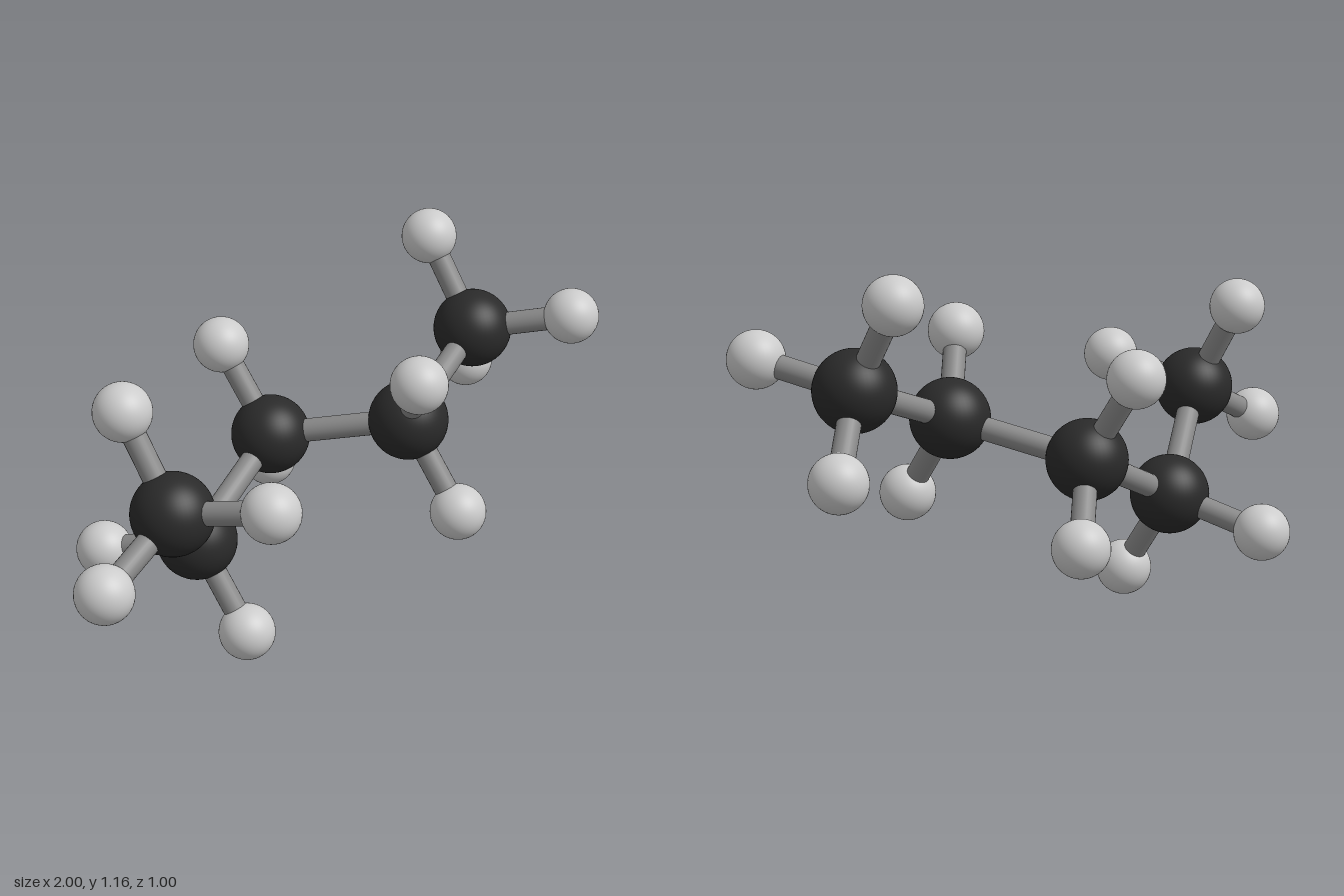
import * as THREE from 'three';

const CARBON_RADIUS = 0.126, HYDROGEN_RADIUS = 0.089, BOND_RADIUS = 0.037;

// Each carbon of the chain with the hydrogens attached to it
const CHAIN = [
  { at: [-0.62, 0.645, 0.118], hydrogens: [[-0.66, 0.928, -0.05], [-0.497, 0.722, 0.413], [-0.911, 0.509, 0.161]] },
  { at: [-0.345, 0.362, -0.109], hydrogens: [[-0.497, 0.271, -0.384], [-0.299, 0.09, 0.07]] },
  { at: [0.061, 0.547, -0.222], hydrogens: [[0.011, 0.816, -0.4], [0.219, 0.333, -0.411]] },
  { at: [0.319, 0.645, 0.14], hydrogens: [[0.174, 0.878, 0.327], [0.358, 0.379, 0.331]] },
  { at: [0.728, 0.796, 0.016], hydrogens: [[0.703, 1.069, -0.167], [0.909, 0.87, 0.278], [0.888, 0.573, -0.16]] },
];

export function createModel() {
  const model = new THREE.Group();
  model.name = 'molecule';

  const carbonMaterial = new THREE.MeshStandardMaterial({ color: 0x2a2a2a });
  const hydrogenMaterial = new THREE.MeshStandardMaterial({ color: 0xcccccc });
  const bondMaterial = new THREE.MeshStandardMaterial({ color: 0x8a8a8a });
  const carbonGeometry = new THREE.SphereGeometry(CARBON_RADIUS, 48, 32);
  const hydrogenGeometry = new THREE.SphereGeometry(HYDROGEN_RADIUS, 40, 28);
  const up = new THREE.Vector3(0, 1, 0);

  function addAtom(name, geometry, material, position) {
    const atom = new THREE.Mesh(geometry, material);
    atom.name = name;
    atom.position.copy(position);
    model.add(atom);
  }

  // Rod running between two atom centres
  function addBond(name, from, to) {
    const span = to.clone().sub(from);
    const rod = new THREE.CylinderGeometry(BOND_RADIUS, BOND_RADIUS, span.length(), 24, 1, true);
    const bond = new THREE.Mesh(rod, bondMaterial);
    bond.name = name;
    bond.position.copy(from).addScaledVector(span, 0.5);
    bond.quaternion.setFromUnitVectors(up, span.normalize());
    model.add(bond);
  }

  let previous = null;
  CHAIN.forEach(({ at, hydrogens }, i) => {
    const centre = new THREE.Vector3(...at);
    addAtom(`carbon${i + 1}`, carbonGeometry, carbonMaterial, centre);
    if (previous) addBond(`carbonBond${i}`, previous, centre);

    hydrogens.forEach((point, j) => {
      const end = new THREE.Vector3(...point);
      addAtom(`hydrogen${i + 1}_${j + 1}`, hydrogenGeometry, hydrogenMaterial, end);
      addBond(`hydrogenBond${i + 1}_${j + 1}`, centre, end);
    });
    previous = centre;
  });

  return model;
}
